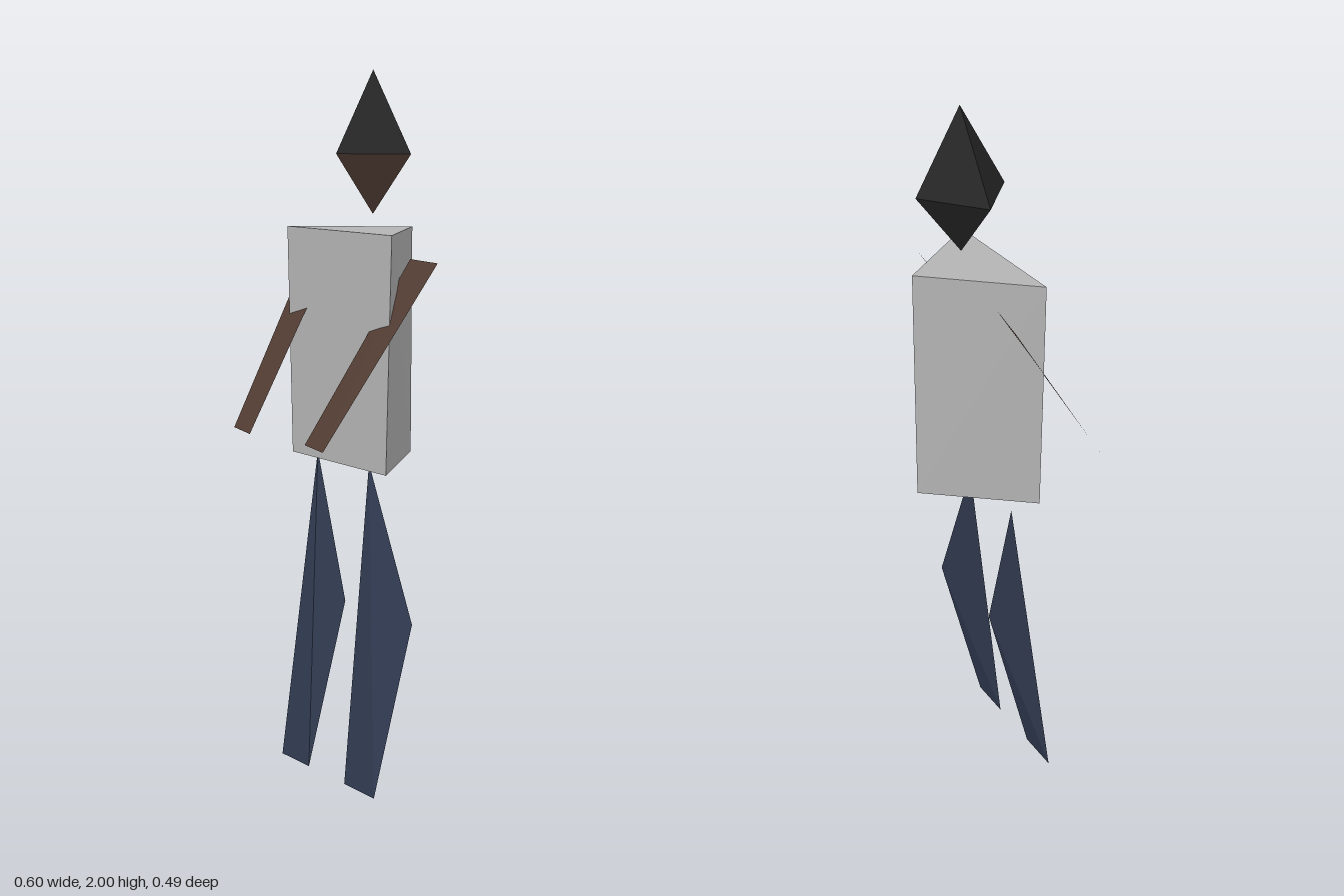
import * as THREE from 'three';
import { ConvexGeometry } from 'three/addons/geometries/ConvexGeometry.js';

const material = (name, color, side = THREE.FrontSide) => {
  const m = new THREE.MeshStandardMaterial({ color, side, flatShading: true });
  m.name = name;
  return m;
};

const part = (name, geometry, mat) => {
  const mesh = new THREE.Mesh(geometry, mat);
  mesh.name = name;
  return mesh;
};

const points = (list) => list.map((p) => new THREE.Vector3(...p));

// Stretched octahedron; the two lower front faces use the second material
function headGeometry() {
  const g = new THREE.OctahedronGeometry(1, 0).toNonIndexed();
  const p = g.attributes.position;
  for (let i = 0; i < p.count; i += 3) {
    const y = p.getY(i) + p.getY(i + 1) + p.getY(i + 2);
    const z = p.getZ(i) + p.getZ(i + 1) + p.getZ(i + 2);
    g.addGroup(i, 3, y < 0 && z > 0 ? 1 : 0);
  }
  for (let i = 0; i < p.count; i++) {
    const y = p.getY(i);
    p.setXYZ(i, p.getX(i) * 0.162, y * (y > 0 ? 0.225 : 0.167), p.getZ(i) * 0.129);
  }
  g.computeVertexNormals();
  return g;
}

// Flat four-cornered sheet
function sheet(a, b, c, d) {
  const g = new THREE.BufferGeometry().setFromPoints(points([a, b, c, a, c, d]));
  g.computeVertexNormals();
  return g;
}

export function createModel() {
  const model = new THREE.Group();
  model.name = 'figure';
  const hair = material('hair black', 0x262626);
  const skin = material('skin brown', 0x523d33, THREE.DoubleSide);
  const shirt = material('shirt grey', 0xb4b4b4);
  const trousers = material('trouser navy', 0x303a50);

  // Head
  const head = part('head', headGeometry(), [hair, skin]);
  head.position.set(0, 1.775, -0.102);
  model.add(head);

  // Torso: three-sided prism, slightly narrower at the hem
  const ring = (y, w) => [[-w, y, 0.022], [w, y, 0.022], [0, y, -0.246]];
  model.add(part('torso', new ConvexGeometry(points([...ring(1.567, 0.232), ...ring(0.917, 0.212)])), shirt));

  // Arms: thin sheets slanting forward
  model.add(part('rightArm', sheet(
    [-0.3, 1.493, -0.107], [-0.222, 1.01, 0.22], [-0.11, 1.01, 0.245], [-0.156, 1.493, -0.08]), skin));
  model.add(part('leftArm', sheet(
    [0.156, 1.493, -0.107], [0.11, 1.01, 0.22], [0.222, 1.01, 0.245], [0.3, 1.493, -0.08]), skin));

  // Legs: tall wedges with hip point, knee point and toe edge
  const leg = (hipX, kneeX, toeIn, toeOut) => new ConvexGeometry(points([
    [hipX, 0.912, -0.06], [kneeX, 0.485, -0.06], [toeIn, 0, 0.064], [toeOut, 0, 0.064]]));
  model.add(part('rightLeg', leg(-0.2, -0.07, -0.216, -0.085), trousers));
  model.add(part('leftLeg', leg(0.038, 0.23, 0.083, 0.217), trousers));

  return model;
}
